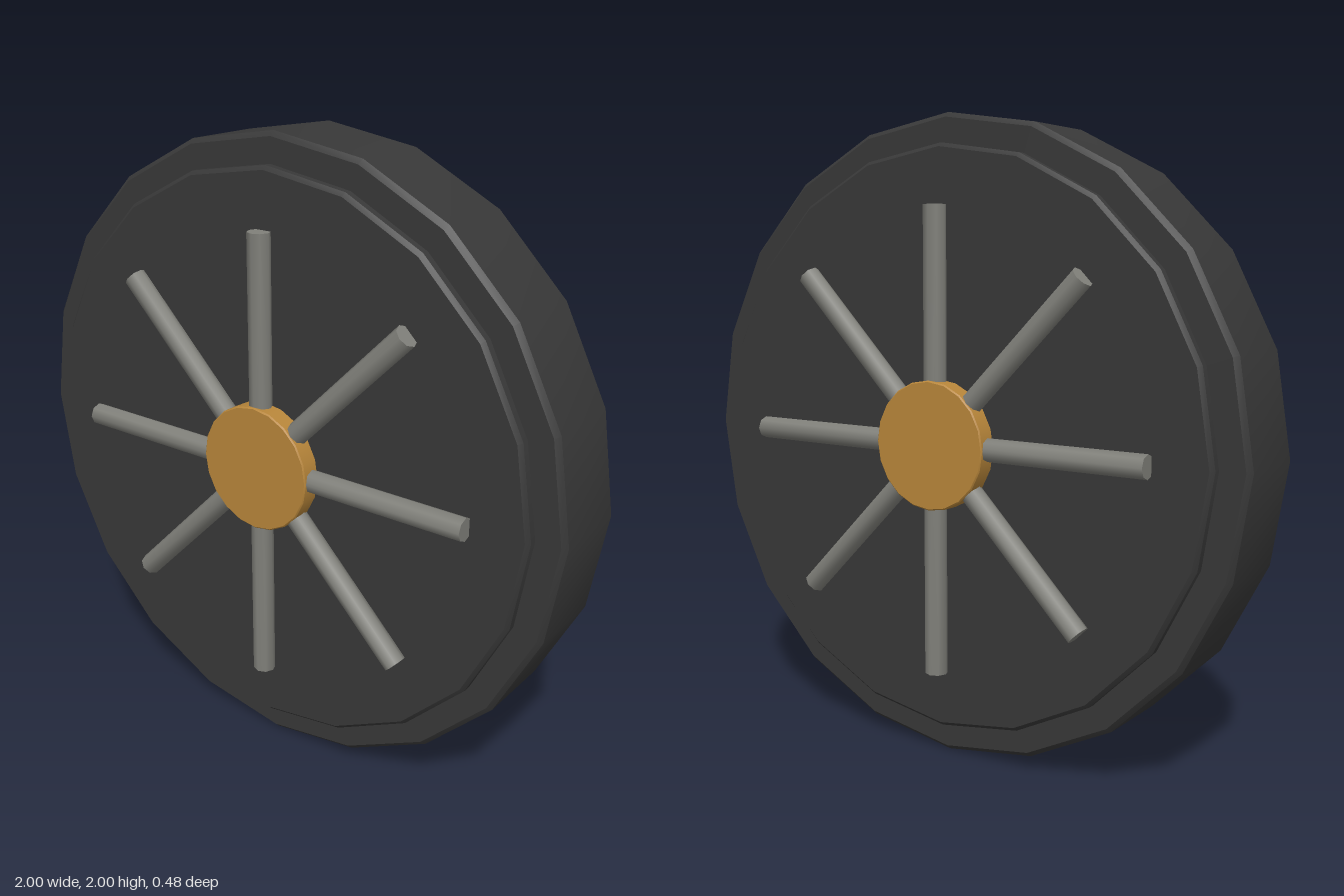
import * as THREE from 'three';
import { toCreasedNormals } from 'three/addons/utils/BufferGeometryUtils.js';

const SIDES = 20;

const rubber = new THREE.MeshStandardMaterial({ color: 0x383838 });
rubber.name = 'dark rubber';
const steel = new THREE.MeshStandardMaterial({ color: 0x80807a });
steel.name = 'grey steel';
const brass = new THREE.MeshStandardMaterial({ color: 0xb8863a });
brass.name = 'brass';

// Disc with bevelled rims, its axis along z
function bevelledDisc(name, radius, halfDepth, bevel, material) {
  const profile = [
    [0, -halfDepth], [radius - bevel, -halfDepth], [radius, -halfDepth + bevel],
    [radius, halfDepth - bevel], [radius - bevel, halfDepth], [0, halfDepth],
  ].map(([x, y]) => new THREE.Vector2(x, y));
  const lathe = new THREE.LatheGeometry(profile, SIDES).rotateX(Math.PI / 2);
  const mesh = new THREE.Mesh(toCreasedNormals(lathe, 0.5), material);
  mesh.name = name;
  return mesh;
}

export function createModel() {
  const wheel = new THREE.Group();
  wheel.name = 'wheel';

  // Wide tread with a narrower, slightly thicker disc inside it
  wheel.add(bevelledDisc('tyre', 1, 0.145, 0.015, rubber));
  wheel.add(bevelledDisc('wheelDisc', 0.908, 0.18, 0.012, rubber));

  // Hub runs right through and shows on both faces
  wheel.add(bevelledDisc('hub', 0.2, 0.24, 0.004, brass));

  // Four full-width bars per face give eight spokes
  const bar = toCreasedNormals(new THREE.CylinderGeometry(0.036, 0.036, 1.45, 8), 0.9);
  for (const side of [1, -1]) {
    const spokes = new THREE.Group();
    spokes.name = side > 0 ? 'frontSpokes' : 'backSpokes';
    for (let i = 0; i < 4; i++) {
      const spoke = new THREE.Mesh(bar, steel);
      spoke.name = 'spoke';
      spoke.rotation.z = (i * Math.PI) / 4;
      spokes.add(spoke);
    }
    spokes.position.z = side * 0.2;
    wheel.add(spokes);
  }

  wheel.position.y = 1;
  const model = new THREE.Group();
  model.name = 'spokedWheel';
  model.add(wheel);
  return model;
}
